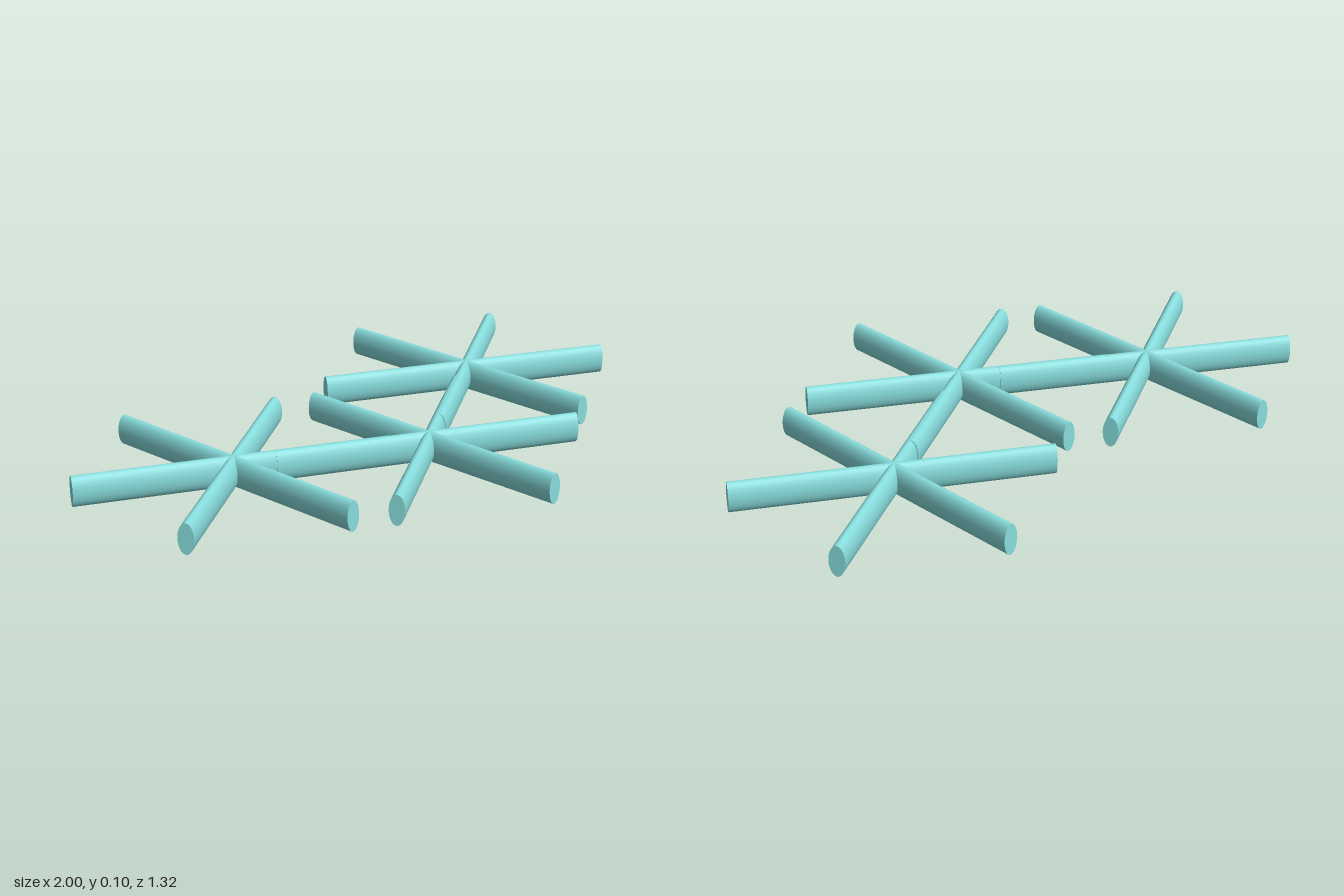
import * as THREE from 'three';

export function createModel() {
  const model = new THREE.Group();
  const material = new THREE.MeshStandardMaterial({ color: 0x88dddd });

  // Rod lying along z, with a tall elliptical section
  const rod = new THREE.CylinderGeometry(0.05, 0.05, 1, 32);
  rod.rotateX(Math.PI / 2);
  rod.scale(0.5, 1, 1);

  // Three six-armed stars, each made of three crossing rods
  const centres = { rightStar: [-0.555, -0.162], middleStar: [-0.008, 0.157], leftStar: [0.554, -0.162] };
  for (const [name, [x, z]] of Object.entries(centres)) {
    const star = new THREE.Group();
    star.name = name;
    star.position.set(x, 0.05, z);
    for (let i = 0; i < 3; i++) {
      const mesh = new THREE.Mesh(rod, material);
      mesh.name = 'rod' + (i + 1);
      mesh.rotation.y = (i * Math.PI) / 3;
      star.add(mesh);
    }
    model.add(star);
  }
  return model;
}
